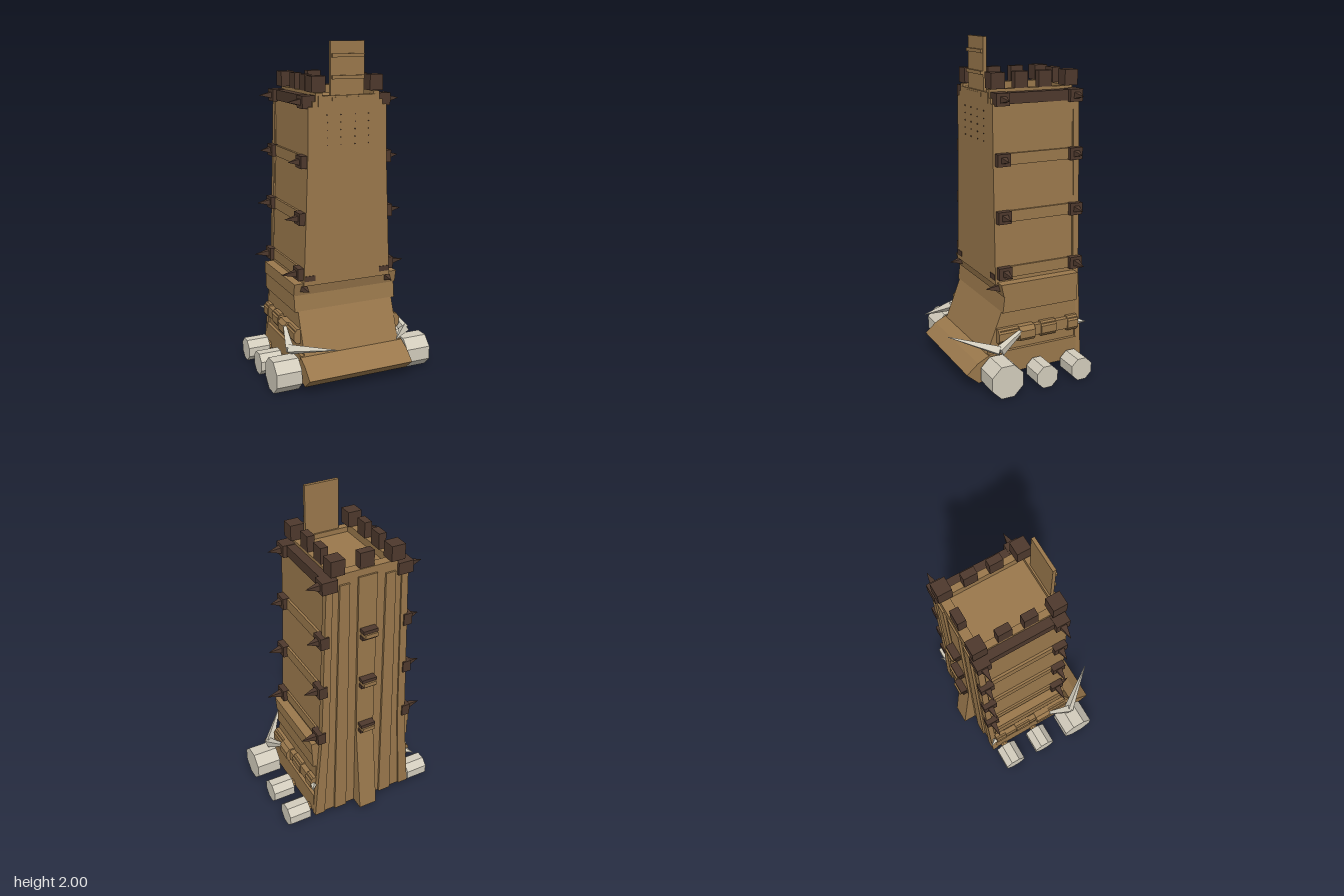
import * as THREE from 'three';

export function createModel() {
  const model = new THREE.Group();
  model.name = 'siegeTower';
  const mat = (name, color) => {
    const m = new THREE.MeshStandardMaterial({ color });
    m.name = name;
    return m;
  };
  const wood = mat('wood', 0x9a784c);
  const dark = mat('darkWood', 0x4e392d);
  const bone = mat('paleStone', 0xd3cdbd);

  const add = (name, geo, material) => {
    const mesh = new THREE.Mesh(geo, material);
    mesh.name = name;
    model.add(mesh);
    return mesh;
  };
  // Box given by its extents
  const box = (name, m, x0, x1, y0, y1, z0, z1) => {
    const g = new THREE.BoxGeometry(Math.abs(x1 - x0), y1 - y0, z1 - z0);
    g.translate((x0 + x1) / 2, (y0 + y1) / 2, (z0 + z1) / 2);
    return add(name, g, m);
  };
  const extrude = (pts, depth) => new THREE.ExtrudeGeometry(
    new THREE.Shape(pts.map(p => new THREE.Vector2(p[0], p[1]))), { depth, bevelEnabled: false });
  // Side profile [z, y] extruded across x
  const prismX = (name, m, pts, xc, width) => {
    const g = extrude(pts, width);
    g.rotateY(-Math.PI / 2);
    g.translate(xc + width / 2, 0, 0);
    return add(name, g, m);
  };
  // Front outline [x, y] extruded along z
  const prismZ = (name, m, pts, z0, z1) => {
    const g = extrude(pts, z1 - z0);
    g.translate(0, 0, z0);
    return add(name, g, m);
  };
  // Faceted tapered rod from a to b
  const rod = (name, m, a, b, ra, rb, sides = 4) => {
    const A = new THREE.Vector3(...a), B = new THREE.Vector3(...b);
    const dir = B.clone().sub(A);
    let g = new THREE.CylinderGeometry(rb, ra, dir.length(), sides);
    g.rotateY(Math.PI / sides);
    g = g.toNonIndexed();
    g.computeVertexNormals();
    g.applyQuaternion(new THREE.Quaternion().setFromUnitVectors(
      new THREE.Vector3(0, 1, 0), dir.clone().normalize()));
    g.translate(...A.add(B).multiplyScalar(0.5).toArray());
    return add(name, g, m);
  };
  const halfWidth = y => 0.245 + (1.64 - y) * 0.036;

  // Tapered tower shaft and full-height back wall
  prismZ('towerShaft', wood, [[-0.28, 0.6], [0.28, 0.6], [0.25, 1.35], [0.245, 1.64], [-0.245, 1.64], [-0.25, 1.35]], -0.36, 0.18);
  prismZ('backWall', wood, [[-0.32, 0.06], [0.32, 0.06], [0.28, 0.62], [0.245, 1.64], [-0.245, 1.64], [-0.28, 0.62]], -0.362, -0.33);

  // Flared spine at the back
  prismX('backSpine', wood, [[-0.35, 0.06], [-0.445, 0.06], [-0.378, 0.64], [-0.375, 1.68], [-0.35, 1.68]], 0, 0.115);

  // Lower hull with sloping front, and front bumper
  prismX('lowerHull', wood, [[-0.34, 0.06], [0.29, 0.06], [0.25, 0.2], [0.2, 0.33], [0.15, 0.46], [0.14, 0.6], [-0.34, 0.6]], 0, 0.62);
  prismX('hullSkirt', wood, [[-0.34, 0.06], [0.29, 0.06], [0.25, 0.2], [-0.34, 0.2]], 0, 0.66);
  prismX('frontBumper', wood, [[0.22, 0.06], [0.315, 0.035], [0.39, 0.1], [0.32, 0.16], [0.24, 0.2]], 0, 0.67);
  prismX('shoulder', wood, [[-0.34, 0.44], [0.157, 0.44], [0.145, 0.54], [-0.34, 0.54]], 0, 0.66);
  prismX('shoulderCap', wood, [[-0.34, 0.54], [0.152, 0.54], [0.168, 0.615], [-0.34, 0.615]], 0, 0.67);

  // Battlement floor and curbs
  box('platform', wood, -0.22, 0.22, 1.63, 1.67, -0.365, 0.18);
  box('frontCurb', wood, -0.185, 0.185, 1.64, 1.7, 0.14, 0.182);
  box('backCurb', wood, -0.185, 0.185, 1.64, 1.72, -0.365, -0.31);
  box('backMerlon', dark, -0.043, 0.043, 1.72, 1.81, -0.36, -0.31);

  // Raised boarding plank with battens
  box('boardingPlank', wood, -0.105, 0.105, 1.64, 2.0, 0.15, 0.17);
  for (const y of [1.68, 1.8, 1.92]) box('plankBatten', wood, -0.1, 0.1, y - 0.01, y + 0.01, 0.165, 0.184);

  // Rows of small studs on the front
  for (const x of [-0.13, -0.045, 0.045, 0.13])
    for (let i = 0; i < 5; i++) {
      const y = 1.42 + i * 0.043;
      box('frontStud', dark, x - 0.003, x + 0.003, y - 0.003, y + 0.003, 0.178, 0.184);
    }

  // Ledges up the back spine
  for (const y of [0.67, 1.0, 1.33]) {
    box('backLedge', dark, -0.046, 0.046, y + 0.012, y + 0.032, -0.42, -0.37);
    box('backLedge', dark, -0.046, 0.046, y - 0.032, y - 0.012, -0.41, -0.37);
    box('ledgeBoard', wood, -0.04, 0.04, y - 0.012, y + 0.012, -0.43, -0.37);
  }

  const wheels = [[0.21, 0.0975, 0.349, 0.505], [-0.053, 0.067, 0.356, 0.495], [-0.284, 0.067, 0.356, 0.495]];
  for (const s of [1, -1]) {
    // Vertical planks on the back wall
    prismZ('backPlank', wood, [[s * 0.12, 0.06], [s * 0.2, 0.06], [s * 0.17, 1.66], [s * 0.11, 1.66]], -0.376, -0.35);
    prismZ('backCornerPlank', wood, [[s * 0.27, 0.06], [s * 0.335, 0.06], [s * 0.285, 0.62],
      [s * 0.25, 1.64], [s * 0.21, 1.64], [s * 0.235, 0.62]], -0.372, -0.335);

    // Parapet rails and merlons
    box('sideCurb', wood, s * 0.16, s * 0.2, 1.64, 1.717, -0.35, 0.18);
    box('sideRail', dark, s * 0.2, s * 0.252, 1.638, 1.7, -0.3, 0.1);
    for (const z of [-0.333, 0.135]) box('cornerMerlon', dark, s * 0.14, s * 0.223, 1.72, 1.81, z - 0.042, z + 0.042);
    for (const z of [-0.175, -0.022]) box('sideMerlon', dark, s * 0.155, s * 0.2, 1.717, 1.81, z - 0.041, z + 0.041);

    // Side bands with spiked corner blocks
    for (const [y, tip] of [[0.67, 0.4], [1.0, 0.375], [1.33, 0.35], [1.667, 0.35]]) {
      const w = halfWidth(y);
      if (y < 1.5) box('sideBand', wood, s * (w - 0.03), s * (w + 0.008), y - 0.033, y + 0.033, -0.32, 0.13);
      for (const z of [-0.34, 0.128]) {
        box('cornerBlock', dark, s * (w - (y > 1.5 ? 0.06 : 0.02)), s * (w + 0.032), y - 0.036, y + 0.036, z - 0.041, z + 0.041);
        rod('cornerSpike', dark, [s * (w + 0.03), y, z], [s * tip, y, z], 0.026, 0.001);
      }
    }
    box('frontFoot', dark, s * 0.21, s * 0.275, 0.628, 0.66, 0.1, 0.184);

    // Front spikes on the shoulder
    rod('frontSpike', dark, [s * 0.275, 0.58, 0.155], [s * 0.268, 0.58, 0.235], 0.027, 0.001);

    // Side beam with brackets
    box('sideBeam', wood, s * 0.3, s * 0.342, 0.27, 0.335, -0.34, 0.18);
    for (const [z0, z1, out] of [[0.06, 0.19, 0.35], [-0.04, 0.06, 0.366], [-0.19, -0.09, 0.35], [-0.34, -0.27, 0.35]])
      prismZ('beamBracket', wood, [[s * 0.3, 0.255], [s * (out - 0.015), 0.255], [s * out, 0.275],
        [s * out, 0.32], [s * (out - 0.02), 0.345], [s * 0.3, 0.345]], z0, z1);

    // Bent tusks and small rear spike
    rod('tuskBase', bone, [s * 0.355, 0.32, 0.05], [s * 0.382, 0.235, 0.2], 0.012, 0.032);
    rod('tusk', bone, [s * 0.382, 0.235, 0.2], [s * 0.19, 0.292, 0.445], 0.032, 0.002);
    rod('rearSpike', bone, [s * 0.33, 0.3, -0.345], [s * 0.357, 0.3, -0.39], 0.018, 0.001);

    // Octagonal rollers
    for (const [z, r, x0, x1] of wheels) {
      const R = r / Math.cos(Math.PI / 8);
      rod('wheel', bone, [s * x0, r, z], [s * x1, r, z], R, R, 8);
      rod('axle', wood, [s * 0.3, r, z], [s * (x0 + 0.01), r, z], 0.025, 0.025, 8);
    }
  }
  return model;
}
